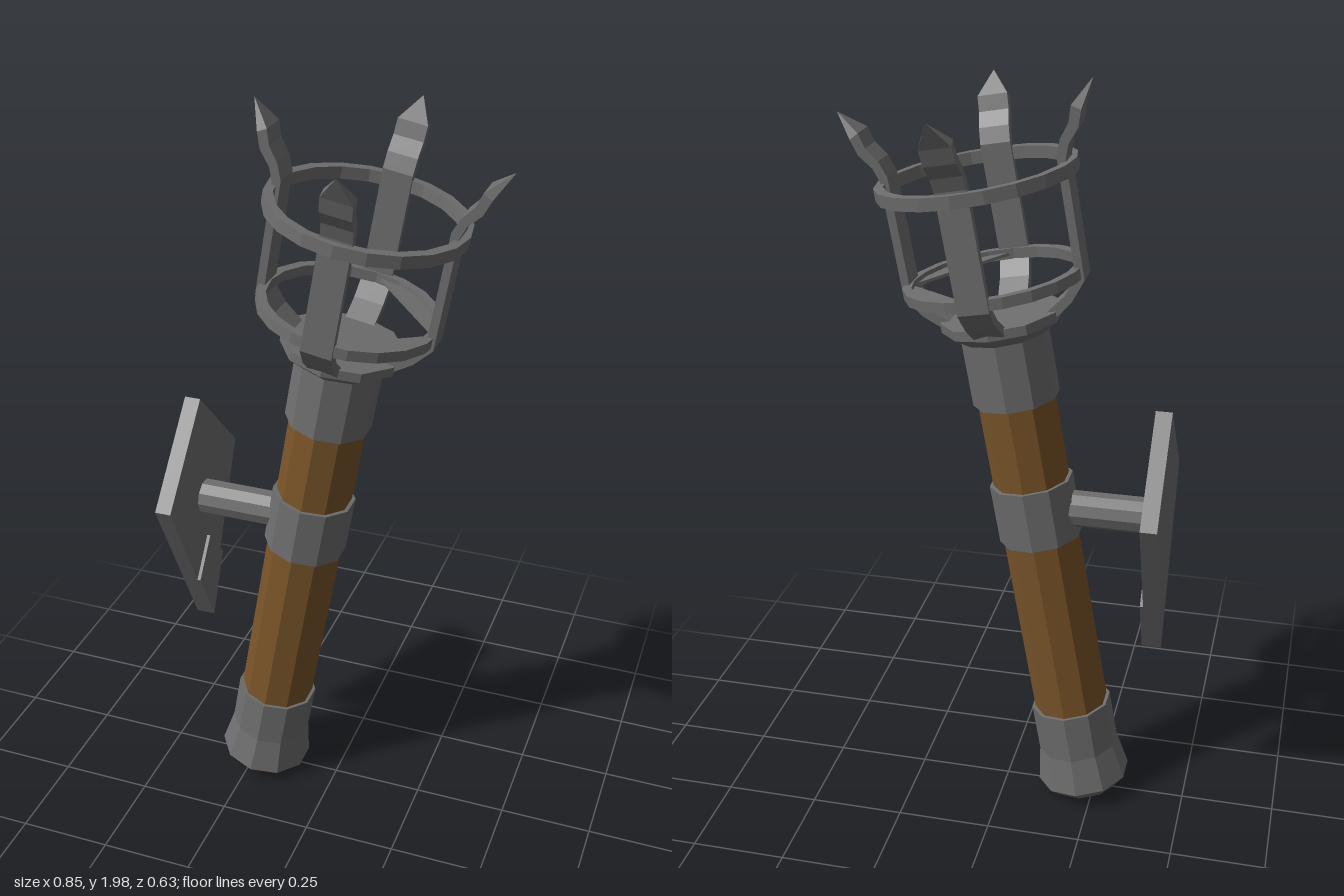
import * as THREE from 'three';

export function createModel() {
  const model = new THREE.Group();
  model.name = 'wallTorch';
  const iron = new THREE.MeshStandardMaterial({ color: 0x6e6e6e, flatShading: true });
  iron.name = 'iron';
  const wood = new THREE.MeshStandardMaterial({ color: 0x7a5529, flatShading: true });
  wood.name = 'wood';

  const add = (parent, name, geometry, material = iron) => {
    const mesh = new THREE.Mesh(geometry, material);
    mesh.name = name;
    parent.add(mesh);
    return mesh;
  };
  const lathe = (points, sides = 10) =>
    new THREE.LatheGeometry(points.map(([r, y]) => new THREE.Vector2(r, y)), sides);
  const polygon = (points) => new THREE.Shape(points.map(([x, y]) => new THREE.Vector2(x, y)));

  // The torch leans away from the wall; its own axis is y
  const torch = new THREE.Group();
  torch.name = 'torch';
  torch.position.set(-0.224, 0.018, 0);
  torch.rotation.z = -THREE.MathUtils.degToRad(10);
  model.add(torch);

  // Wooden handle
  const handle = add(torch, 'handle', new THREE.CylinderGeometry(0.1, 0.1, 1.1, 10), wood);
  handle.position.y = 0.7;

  // Bottom cuff, with a bevel that shows wood on two faces
  add(torch, 'bottomCuff', lathe([[0.127, 0.03], [0.109, 0.13], [0.109, 0.265], [0.09, 0.265]]));
  add(torch, 'bottomCap', lathe([[0, 0], [0.097, 0]]));
  const bevel = new THREE.CylinderGeometry(0.127, 0.097, 0.03, 10, 1, true);
  bevel.clearGroups();
  bevel.addGroup(0, 12, 0);
  bevel.addGroup(12, Infinity, 1);
  add(torch, 'bottomBevel', bevel, [wood, iron]).position.y = 0.015;

  // Middle band and top cuff with its flared dish
  add(torch, 'middleBand', lathe([[0.09, 0.78], [0.11, 0.78], [0.11, 0.942], [0.09, 0.942]]));
  add(torch, 'topCuff', lathe([
    [0.09, 1.17], [0.112, 1.17], [0.112, 1.345], [0.155, 1.375], [0.155, 1.4], [0, 1.4],
  ]));

  // Basket hoops
  const hoop = (name, inner, outer, low, high) => add(torch, name, lathe([
    [inner, low], [outer, low], [outer, high], [inner, high], [inner, low],
  ], 20));
  hoop('upperHoop', 0.226, 0.25, 1.728, 1.76);
  hoop('lowerHoop', 0.207, 0.23, 1.475, 1.503);

  // Thin webs between the lower hoop and the outer prongs
  for (const start of [0, -Math.PI / 2]) {
    const points = [];
    for (let i = 0; i <= 5; i++) {
      const a = start + (i / 5) * Math.PI / 2;
      points.push([0.218 * Math.cos(a), 0.218 * Math.sin(a)]);
    }
    const web = new THREE.ExtrudeGeometry(polygon(points), { depth: 0.008, bevelEnabled: false });
    web.rotateX(-Math.PI / 2);
    web.translate(0, 1.484, 0);
    add(torch, 'hoopWeb', web);
  }

  // Four prongs: a bent strip whose last point narrows to a spear tip
  const tipHeight = 1.94;
  const width = 0.078;
  const prongGeometry = new THREE.ExtrudeGeometry(polygon([
    [0.135, 1.375], [0.19, 1.418], [0.231, 1.47], [0.231, 1.765], [0.243, 1.8],
    [0.272, 1.835], [0.285, 1.875], [0.317, tipHeight], [0.262, 1.888], [0.251, 1.85],
    [0.225, 1.815], [0.21, 1.775], [0.21, 1.48], [0.175, 1.436], [0.125, 1.4],
  ]), { depth: width, bevelEnabled: false });
  prongGeometry.translate(0, 0, -width / 2);
  const pos = prongGeometry.attributes.position;
  for (let i = 0; i < pos.count; i++) {
    if (pos.getY(i) > tipHeight - 0.001) pos.setZ(i, 0);
  }
  prongGeometry.computeVertexNormals();
  for (let i = 0; i < 4; i++) {
    add(torch, 'prong', prongGeometry).rotation.y = i * Math.PI / 2;
  }

  // Kite-shaped wall plate, with a small raised kite at its lower tip
  const plate = (name, points, x, thickness) => {
    const g = new THREE.ExtrudeGeometry(polygon(points), { depth: thickness, bevelEnabled: false });
    g.rotateY(Math.PI / 2);
    g.translate(x, 0, 0);
    return add(model, name, g);
  };
  plate('wallPlate', [[0, 0.48], [0.215, 0.935], [0, 1.167], [-0.215, 0.935]], -0.42, 0.043);
  plate('plateTip', [[0, 0.48], [0.078, 0.645], [0, 0.745], [-0.078, 0.645]], -0.377, 0.009);

  // Rod joining the plate to the middle band
  const rod = add(model, 'mountRod', new THREE.CylinderGeometry(0.048, 0.048, 0.26, 10));
  rod.rotation.z = Math.PI / 2;
  rod.position.set(-0.26, 0.872, 0);

  return model;
}
